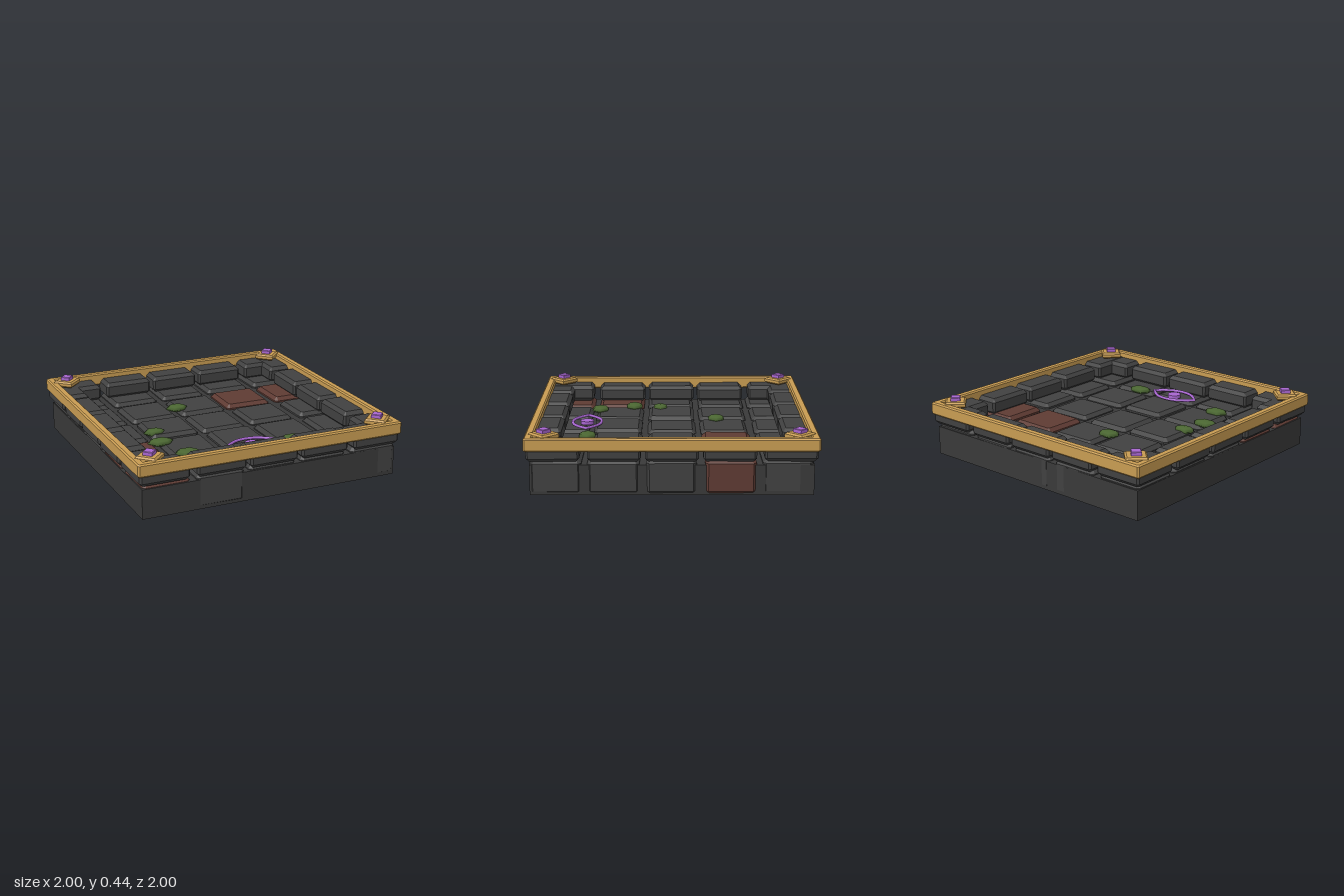
import * as THREE from 'three';

const mat = (name, color, side = THREE.FrontSide) => {
  const m = new THREE.MeshStandardMaterial({ color, side });
  m.name = name;
  return m;
};

// Rectangle outline with cut corners, centred on the origin
function outline(Type, w, d, cut) {
  const x = w / 2, y = d / 2;
  const pts = cut
    ? [[x, -y + cut], [x, y - cut], [x - cut, y], [-x + cut, y], [-x, y - cut], [-x, -y + cut], [-x + cut, -y], [x - cut, -y]]
    : [[x, -y], [x, y], [-x, y], [-x, -y]];
  return new Type(pts.map(([a, b]) => new THREE.Vector2(a, b)));
}

// Upright prism with chamfered edges, standing on y = 0
function prism(shape, h, bevel) {
  return new THREE.ExtrudeGeometry(shape, {
    depth: h - 2 * bevel, bevelEnabled: true, bevelSegments: 1,
    bevelSize: bevel, bevelThickness: bevel, bevelOffset: -bevel,
  }).rotateX(-Math.PI / 2).translate(0, bevel, 0);
}
const block = (w, h, d, bevel, cut = 0) => prism(outline(THREE.Shape, w, d, cut), h, bevel);

export function createModel() {
  const root = new THREE.Group();
  root.name = 'stoneFloorTile';
  const mortar = mat('mortar', 0x393939);
  const stone = mat('stone', 0x414141);
  const redStone = mat('redStone', 0x5f3b33);
  const gold = mat('gold', 0xc89c52);
  const purple = mat('purple', 0xa866d0);
  const moss = mat('moss', 0x4b6732);

  const add = (name, geo, material, x = 0, y = 0, z = 0, parent = root) => {
    const m = new THREE.Mesh(geo, material);
    m.name = name;
    m.position.set(x, y, z);
    parent.add(m);
    return m;
  };
  let seed = 11;
  const jitter = (a) => {
    seed = (seed * 16807) % 2147483647;
    return (seed / 2147483647 * 2 - 1) * a;
  };

  // Base slab
  add('baseSlab', new THREE.BoxGeometry(1.928, 0.212, 1.928), mortar, 0, 0.108, 0);

  // Five by five paving stones, a few of them red
  const paving = new THREE.Group();
  paving.name = 'paving';
  root.add(paving);
  const at = [-0.785, -0.392, 0, 0.392, 0.785];
  const red = new Set(['3,1', '4,1', '0,3', '0,4']);
  at.forEach((z, row) => at.forEach((x, col) => {
    const isRed = red.has(col + ',' + row);
    const geo = block(0.35 + jitter(0.008), 0.243 + jitter(0.006), 0.35 + jitter(0.008), 0.026, 0.022);
    const t = add(isRed ? 'redPavingStone' : 'pavingStone', geo, isRed ? redStone : stone,
      x + jitter(0.006) + (col === 4 ? 0.01 : 0), 0.005, z + jitter(0.006), paving);
    t.rotation.y = jitter(0.022);
  }));

  // Red stone showing through the underside
  for (const [x, z, w, d] of [[0.41, -0.5, 0.14, 0.1], [-0.77, 0.39, 0.18, 0.14], [-0.77, 0.79, 0.2, 0.14]])
    add('undersidePatch', new THREE.BoxGeometry(w, 0.004, d), redStone, x, 0.002, z);

  // Raised border blocks, five on each side
  for (let side = 0; side < 4; side++) {
    const border = new THREE.Group();
    border.name = 'borderBlocks';
    border.rotation.y = side * Math.PI / 2;
    root.add(border);
    at.forEach((x, i) => {
      const end = Math.abs(i - 2) === 2;
      const b = add('borderBlock', block(0.362, 0.125, 0.208, 0.026, 0.015), stone,
        x + (end ? Math.sign(x) * 0.02 : 0), 0.237 + jitter(0.002), 0.882, border);
      b.rotation.y = end ? 0 : jitter(0.012);
    });
  }

  // Gold frame
  const frame = outline(THREE.Shape, 2, 2, 0.012);
  frame.holes.push(outline(THREE.Path, 1.884, 1.884, 0));
  add('goldFrame', prism(frame, 0.093, 0.01), gold, 0, 0.312, 0);

  // Corner mounts with gems
  for (const x of [-0.87, 0.87]) for (const z of [-0.87, 0.87]) {
    const corner = new THREE.Group();
    corner.name = 'cornerMount';
    corner.position.set(x, 0, z);
    corner.rotation.y = Math.PI / 4;
    root.add(corner);
    add('mountPlate', block(0.15, 0.045, 0.15, 0.012), gold, 0, 0.373, 0, corner);
    add('gem', block(0.07, 0.045, 0.07, 0.004), purple, 0, 0.4, 0, corner);
  }

  // Eye emblem: two lids and a pupil
  const eye = new THREE.Group();
  eye.name = 'eyeEmblem';
  eye.position.set(0, 0.27, 0.63);
  root.add(eye);
  for (const s of [-1, 1]) {
    const pts = [[-0.197, 0], [-0.15, 0.048], [-0.08, 0.093], [0, 0.107], [0.08, 0.093], [0.15, 0.048], [0.197, 0]];
    const lid = new THREE.CatmullRomCurve3(pts.map(([x, z]) => new THREE.Vector3(x, 0, s * z)));
    add('eyelid', new THREE.TubeGeometry(lid, 40, 0.011, 8), purple, 0, 0, 0, eye);
  }
  for (const x of [-0.197, 0.197])
    add('eyeCorner', new THREE.SphereGeometry(0.0115, 8, 6), purple, x, 0, 0, eye);
  add('pupil', new THREE.CylinderGeometry(0.05, 0.05, 0.026, 24), purple, 0, -0.003, 0, eye);

  // Moss clumps
  const clumps = [[-0.17, -0.34, 0.087, 0.068], [-0.525, 0.085, 0.085, 0.06], [-0.56, 0.29, 0.1, 0.07],
    [-0.465, 0.555, 0.097, 0.07], [0.33, 0.61, 0.098, 0.068]];
  for (const [x, z, rx, rz] of clumps)
    add('mossClump', new THREE.SphereGeometry(1, 6, 4), moss, x, 0.252, z).scale.set(rx, 0.025, rz);

  return root;
}
